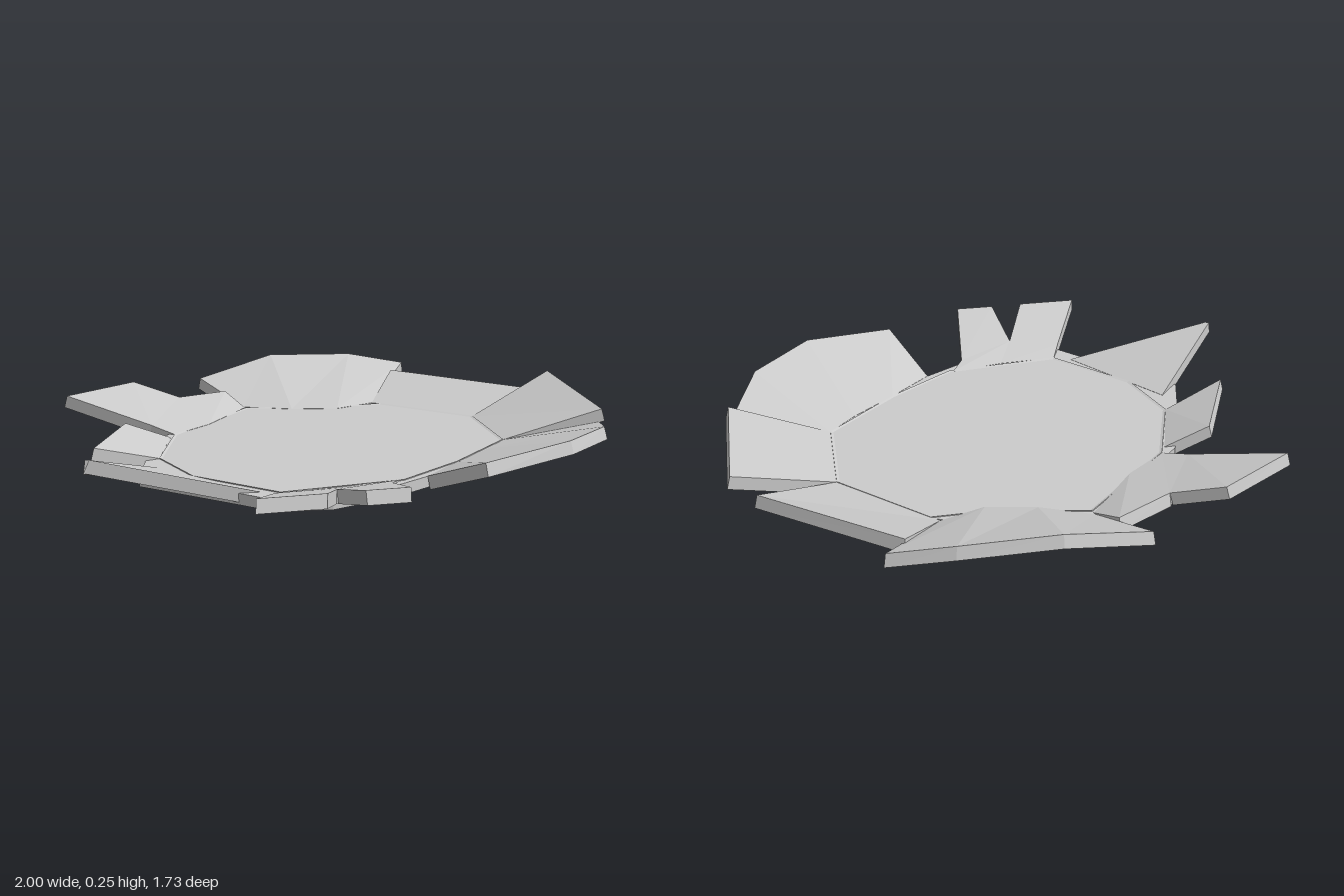
import * as THREE from 'three';

const THICK = 0.043;

// Tilted slab lofted clockwise (seen from above) through stations.
// Each station is [innerX, innerY, innerZ, outerX, outerY, outerZ] on the upper face.
function slabGeometry(stations, closed = false) {
  const loops = stations.map(([ix, iy, iz, ox, oy, oz]) => {
    const run = Math.hypot(ox - ix, oz - iz) || 1;
    const lx = 0.012 * (ox - ix) / run, lz = 0.012 * (oz - iz) / run;
    return [
      [ix, iy, iz], [ox, oy, oz],
      [ox + lx, oy - THICK, oz + lz], [ix + lx, iy - THICK, iz + lz],
    ];
  });
  const pos = [];
  const quad = (a, b, c, d) => pos.push(...a, ...b, ...c, ...a, ...c, ...d);
  const n = loops.length;
  for (let i = 0; i < (closed ? n : n - 1); i++) {
    const p = loops[i], q = loops[(i + 1) % n];
    for (let k = 0; k < 4; k++) quad(p[k], q[k], q[(k + 1) % 4], p[(k + 1) % 4]);
  }
  if (!closed) {
    const s = loops[0], e = loops[n - 1];
    quad(s[0], s[1], s[2], s[3]);
    quad(e[3], e[2], e[1], e[0]);
  }
  const geo = new THREE.BufferGeometry();
  geo.setAttribute('position', new THREE.Float32BufferAttribute(pos, 3));
  geo.computeVertexNormals();
  return geo;
}

export function createModel() {
  const group = new THREE.Group();
  const mat = new THREE.MeshStandardMaterial({ color: 0xcccccc, flatShading: true });
  const add = (name, geo) => {
    const mesh = new THREE.Mesh(geo, mat);
    mesh.name = name;
    group.add(mesh);
  };

  // Flat floor plate
  const outline = [
    [-0.02, -0.6], [0.3, -0.5], [0.56, -0.3], [0.66, -0.05], [0.63, 0.26], [0.4, 0.42],
    [0.04, 0.53], [-0.12, 0.57], [-0.34, 0.58], [-0.5, 0.51], [-0.56, 0.39],
    [-0.74, 0.05], [-0.65, -0.1], [-0.48, -0.35], [-0.3, -0.45],
  ];
  const shape = new THREE.Shape(outline.map(([x, z]) => new THREE.Vector2(x, -z)));
  const floor = new THREE.ExtrudeGeometry(shape, { depth: 0.037, bevelEnabled: false });
  floor.rotateX(-Math.PI / 2).translate(0, 0.075, 0);
  add('floorPlate', floor);

  // Sloping ring below the floor, open in the middle
  const ring = [
    [-0.02, -0.58], [0.27, -0.43], [0.45, -0.38], [0.63, -0.04], [0.52, 0.29], [0.22, 0.44],
    [-0.05, 0.53], [-0.45, 0.45], [-0.6, 0.15], [-0.6, -0.1], [-0.42, -0.36],
  ];
  add('lowerRing', slabGeometry(
    ring.map(([x, z]) => [x * 0.6, THICK, z * 0.6, x, 0.115, z]), true));

  // Broken, upturned slabs around the rim
  const F = 0.113;
  const shards = {
    backShard: [
      [-0.02, F, -0.6, -0.07, 0.18, -0.86], [0.12, F, -0.48, 0.23, 0.245, -0.84],
      [0.27, F, -0.4, 0.53, 0.235, -0.74], [0.43, F, -0.41, 0.71, 0.2, -0.63],
    ],
    leftBackShard: [
      [0.43, F, -0.41, 0.62, 0.19, -0.57], [0.63, F, -0.04, 0.92, 0.175, -0.1],
    ],
    leftShard: [
      [0.63, F, -0.04, 0.99, 0.24, -0.06], [0.52, F, 0.29, 0.83, 0.215, 0.44],
    ],
    leftFrontShard: [
      [0.52, F, 0.29, 0.82, 0.17, 0.44], [0.4, F, 0.36, 0.66, 0.22, 0.65],
      [0.22, F, 0.44, 0.41, 0.235, 0.78], [0.04, F, 0.53, 0.08, 0.21, 0.78],
    ],
    frontLedge: [
      [-0.06, F, 0.52, -0.12, 0.125, 0.57], [-0.25, F, 0.5, -0.34, 0.145, 0.6],
      [-0.45, F, 0.45, -0.5, 0.135, 0.51],
    ],
    frontFinger: [
      [-0.12, 0.125, 0.57, -0.24, 0.2, 0.85], [-0.34, 0.145, 0.6, -0.37, 0.2, 0.81],
    ],
    rightFrontFinger: [
      [-0.34, 0.145, 0.6, -0.48, 0.2, 0.78], [-0.5, 0.135, 0.51, -0.68, 0.2, 0.72],
    ],
    rightSpike: [
      [-0.5, F, 0.41, -0.98, 0.24, 0.23], [-0.65, F, 0, -0.99, 0.24, 0.22],
    ],
    rightBackShard: [
      [-0.6, F, -0.1, -0.83, 0.18, -0.1], [-0.45, F, -0.33, -0.6, 0.175, -0.37],
    ],
    backLedge: [
      [-0.42, F, -0.36, -0.47, 0.135, -0.44], [-0.25, F, -0.43, -0.25, 0.165, -0.67],
      [-0.02, F, -0.59, -0.04, 0.155, -0.71],
    ],
    backFinger: [
      [-0.47, 0.135, -0.44, -0.68, 0.215, -0.7], [-0.25, 0.165, -0.67, -0.38, 0.215, -0.79],
    ],
  };
  for (const [name, stations] of Object.entries(shards)) add(name, slabGeometry(stations));

  return group;
}
